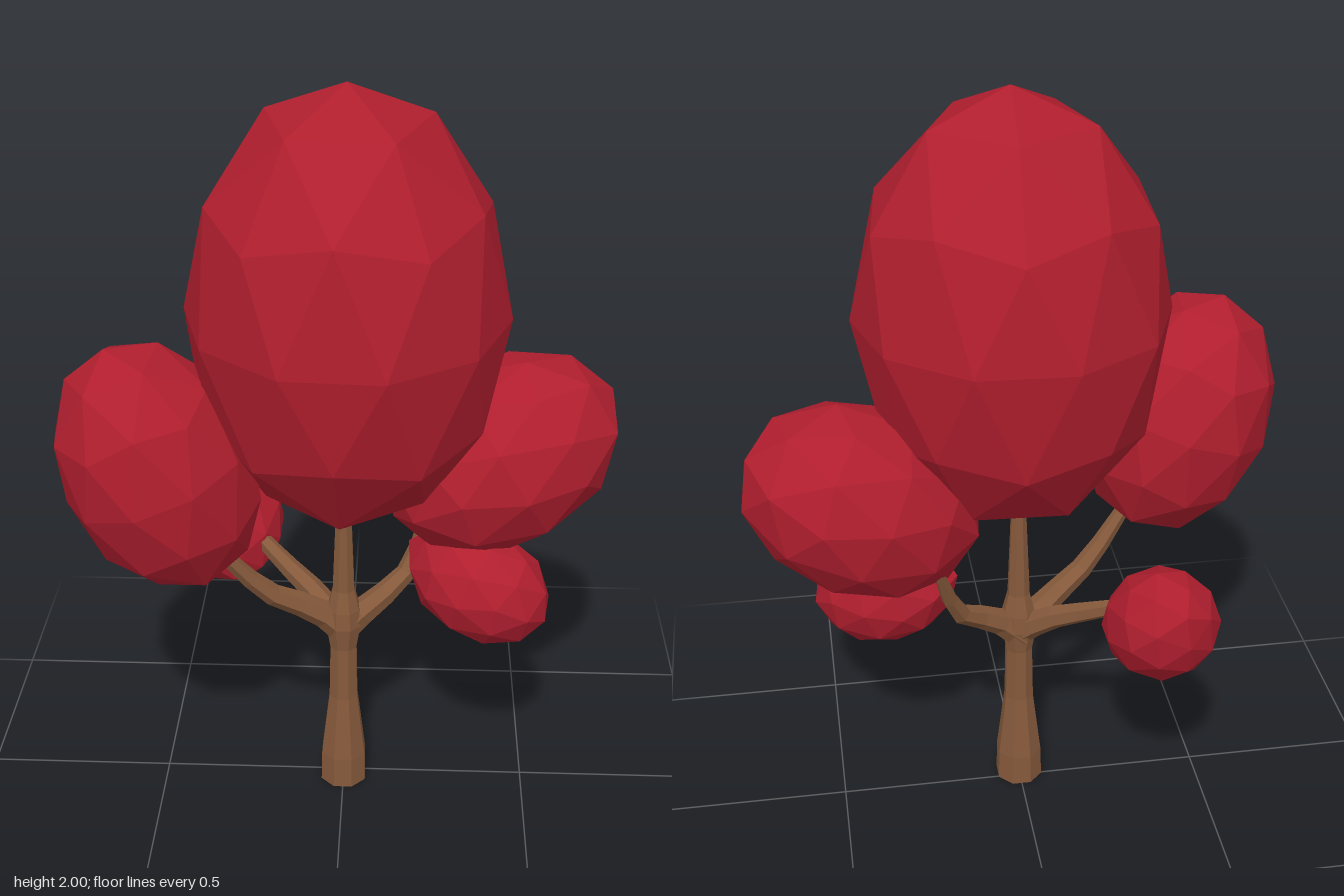
import * as THREE from 'three';

const V = (p) => new THREE.Vector3(...p);
const leafMat = new THREE.MeshStandardMaterial({ color: 0xb01e2e, flatShading: true });
const barkMat = new THREE.MeshStandardMaterial({ color: 0x85593b, flatShading: true });

// Faceted egg of leaves: a subdivided icosahedron standing on one corner,
// stretched along its own axis; tip > 1 pulls the end of the axis to a point
function foliage(name, { centre, axis, length, width, spin = 0, tip = 1 }) {
  const geo = new THREE.IcosahedronGeometry(1, 1);
  geo.rotateZ(-Math.atan(2 / (1 + Math.sqrt(5))));
  geo.rotateY(spin);
  const pos = geo.attributes.position;
  for (let i = 0; i < pos.count; i++) {
    if (pos.getY(i) > 0.99) pos.setY(i, tip);
  }
  geo.scale(width, length, width);
  geo.computeVertexNormals();
  const mesh = new THREE.Mesh(geo, leafMat);
  mesh.name = name;
  mesh.quaternion.setFromUnitVectors(V([0, 1, 0]), V(axis).normalize());
  mesh.position.set(...centre);
  return mesh;
}

// Tapering branch swept along a bent path
function branch(name, points, r0, r1) {
  const steps = 6, sides = 6;
  const curve = new THREE.CatmullRomCurve3(points.map(V));
  const geo = new THREE.TubeGeometry(curve, steps, 1, sides);
  const pos = geo.attributes.position;
  const v = new THREE.Vector3();
  for (let i = 0; i < pos.count; i++) {
    const t = Math.floor(i / (sides + 1)) / steps;
    const c = curve.getPointAt(t);
    v.fromBufferAttribute(pos, i).sub(c).multiplyScalar(r0 + (r1 - r0) * t).add(c);
    pos.setXYZ(i, v.x, v.y, v.z);
  }
  geo.computeVertexNormals();
  const mesh = new THREE.Mesh(geo, barkMat);
  mesh.name = name;
  return mesh;
}

export function createModel() {
  const tree = new THREE.Group();
  tree.name = 'tree';

  // Trunk and central leader, closed at the foot
  const profile = [
    [0, 0], [0.066, 0], [0.064, 0.09], [0.041, 0.28], [0.038, 0.44],
    [0.05, 0.51], [0.046, 0.56], [0.031, 0.62], [0.018, 0.95], [0, 0.96],
  ].map(([r, y]) => new THREE.Vector2(r, y));
  const trunk = new THREE.Mesh(new THREE.LatheGeometry(profile, 8, Math.PI / 8), barkMat);
  trunk.name = 'trunk';
  trunk.position.set(0, 0, 0.022);
  tree.add(trunk);

  // Side branches
  tree.add(
    branch('frontBranch', [[0.01, 0.48, 0.02], [-0.07, 0.56, 0.04], [-0.19, 0.64, 0.09], [-0.34, 0.83, 0.15]], 0.042, 0.016),
    branch('sideBranch', [[-0.01, 0.48, 0.02], [0.07, 0.555, 0], [0.165, 0.62, -0.06], [0.24, 0.84, -0.15]], 0.042, 0.012),
    branch('backBranch', [[0.01, 0.48, 0.03], [-0.07, 0.56, -0.03], [-0.18, 0.63, -0.11], [-0.31, 0.72, -0.22]], 0.04, 0.016),
  );

  // Leaf masses
  tree.add(
    foliage('crown', { centre: [0.01, 1.428, 0.06], axis: [0, 1, 0.03], length: 0.573, width: 0.402, spin: Math.PI / 12 }),
    foliage('frontFoliage', { centre: [-0.455, 1.055, 0.17], axis: [-0.33, 0.94, 0.06], length: 0.345, width: 0.245, spin: 0.5 }),
    foliage('sideFoliage', { centre: [0.41, 0.995, -0.055], axis: [0.84, 0.5, -0.15], length: 0.33, width: 0.245, spin: 0.3 }),
    foliage('lowSideFoliage', { centre: [0.36, 0.66, 0.045], axis: [-0.85, 0.33, -0.4], length: 0.2, width: 0.15, spin: 0.2, tip: 1.1 }),
    foliage('lowBackFoliage', { centre: [-0.325, 0.68, -0.26], axis: [-0.1, 0.6, -0.8], length: 0.2, width: 0.148, spin: 0.6, tip: 1.1 }),
  );
  return tree;
}
